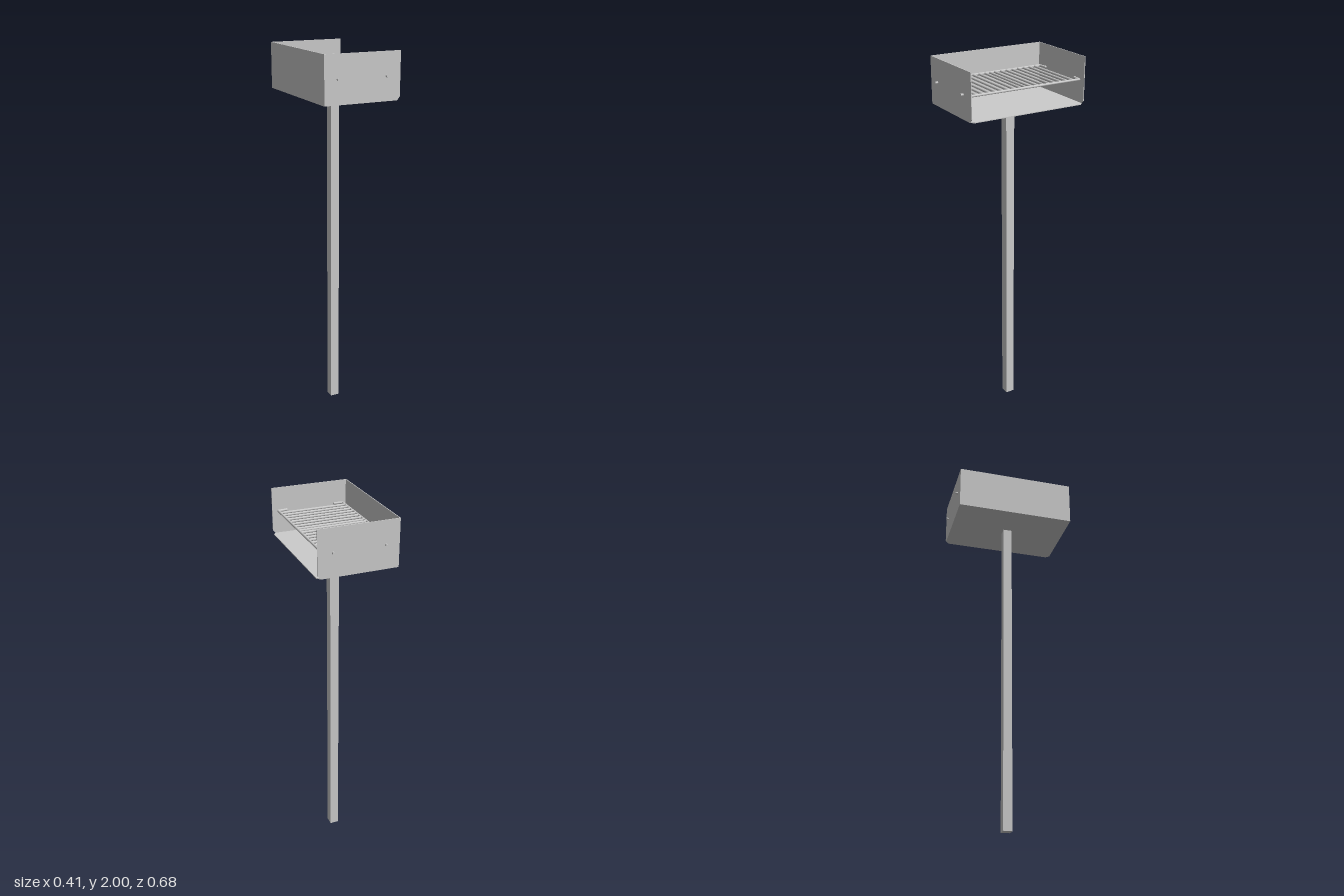
import * as THREE from 'three';

const material = new THREE.MeshStandardMaterial({ color: 0xcccccc });
const W = 0.207, D = 0.324, BASE = 1.757, TOP = 2, T = 0.004; // tray half width, half depth, heights, sheet
const GRATE_Y = 1.88, ROD = 0.0063;

function add(parent, name, geometry, x = 0, y = 0, z = 0) {
  const mesh = new THREE.Mesh(geometry, material);
  mesh.name = name;
  mesh.position.set(x, y, z);
  parent.add(mesh);
  return mesh;
}

function plate(points, depth) {
  const shape = new THREE.Shape(points.map(([x, y]) => new THREE.Vector2(x, y)));
  return new THREE.ExtrudeGeometry(shape, { depth, bevelEnabled: false });
}

// Straight round rod between two points
function rod(parent, name, a, b) {
  const dir = b.clone().sub(a);
  const mesh = add(parent, name, new THREE.CylinderGeometry(ROD, ROD, dir.length(), 12));
  mesh.position.copy(a).add(b).multiplyScalar(0.5);
  mesh.quaternion.setFromUnitVectors(new THREE.Vector3(0, 1, 0), dir.normalize());
}

export function createModel() {
  const model = new THREE.Group();
  model.name = 'pedestalGrill';

  // Square post
  add(model, 'post', new THREE.BoxGeometry(0.048, BASE, 0.048), 0, BASE / 2, 0);

  // Sheet metal firebox, open on the +x side
  const firebox = new THREE.Group();
  firebox.name = 'firebox';
  model.add(firebox);
  const floor = plate([[-W, -D], [W - 0.018, -D], [W, -D + 0.018], [W, D - 0.018], [W - 0.018, D], [-W, D]], T);
  add(firebox, 'floor', floor, 0, BASE + T, 0).rotation.x = Math.PI / 2;
  add(firebox, 'backWall', new THREE.BoxGeometry(T, TOP - BASE, 2 * D), -W + T / 2, (TOP + BASE) / 2, 0);
  const side = [[-W, BASE], [W - 0.018, BASE], [W, BASE + 0.018], [W, TOP], [-W, TOP]];
  for (const s of [1, -1])
    add(firebox, 'sideWall', plate(side, T), 0, 0, s > 0 ? D - T : -D);

  // Cooking grate of round rods, hung on pegs through the side walls
  const grate = new THREE.Group();
  grate.name = 'grate';
  grate.position.set(-0.003, GRATE_Y, 0);
  model.add(grate);
  const railX = 0.1793;
  for (const s of [1, -1]) {
    const half = [[0.133, 0.338], [0.133, 0.316], [railX, 0.3115]];
    const path = [...half, ...half.map(([x, z]) => [x, -z]).reverse()]
      .map(([x, z]) => new THREE.Vector3(s * x, 0, z));
    for (let i = 1; i < path.length; i++) {
      rod(grate, 'sideRail', path[i - 1], path[i]);
      if (i < path.length - 1)
        add(grate, 'railBend', new THREE.SphereGeometry(ROD, 12, 8), path[i].x, 0, path[i].z);
    }
  }

  // Cross bars, slightly closer together at the middle
  for (let i = -8; i <= 8; i++) {
    const z = i === 0 ? 0 : Math.sign(i) * (0.029 + (Math.abs(i) - 1) * 0.0352);
    rod(grate, 'crossBar', new THREE.Vector3(-railX, 0, z), new THREE.Vector3(railX, 0, z));
  }
  return model;
}
